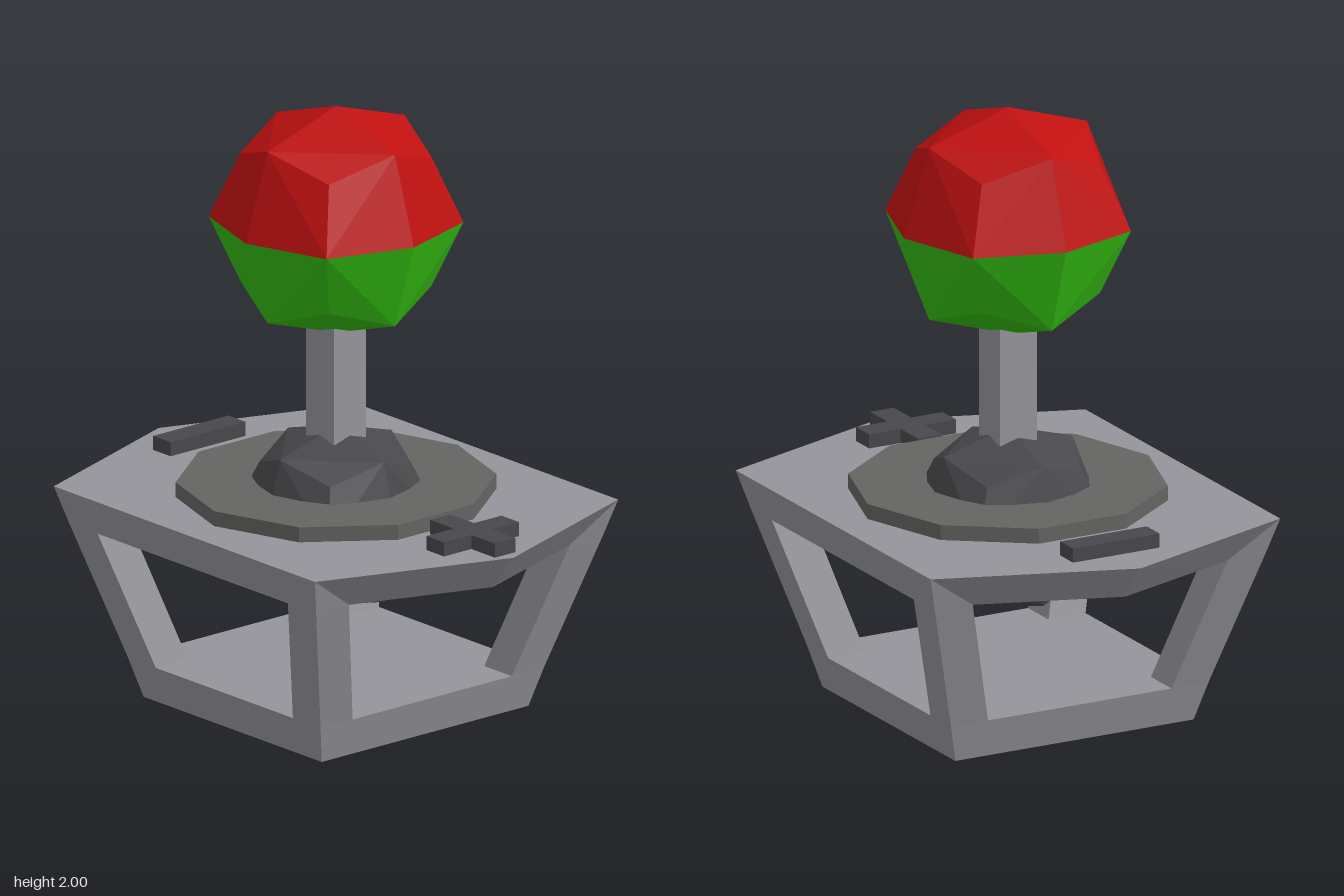
import * as THREE from 'three';
import { ConvexGeometry } from 'three/addons/geometries/ConvexGeometry.js';

const makeMaterial = (name, color) => {
  const m = new THREE.MeshStandardMaterial({ color, flatShading: true });
  m.name = name;
  return m;
};

export function createModel() {
  const model = new THREE.Group();
  model.name = 'joystick';
  const frameGrey = makeMaterial('frame grey', 0x94949a);
  const discGrey = makeMaterial('disc grey', 0x646462);
  const darkGrey = makeMaterial('dark grey', 0x48484c);
  const red = makeMaterial('red', 0xbf1010);
  const green = makeMaterial('green', 0x33bb12);

  const add = (name, geometry, material, parent = model) => {
    const mesh = new THREE.Mesh(geometry, material);
    mesh.name = name;
    parent.add(mesh);
    return mesh;
  };
  const hull = (points) => new ConvexGeometry(points.map((p) => new THREE.Vector3(...p)));
  const box = (name, w, h, d, x, y, z, material, parent) =>
    add(name, new THREE.BoxGeometry(w, h, d), material, parent).position.set(x, y, z);

  // Solid between two axis-aligned squares, each given by its range in x and z
  const frustum = (y0, [a0, b0], y1, [a1, b1], sx = 1, sz = 1) => {
    const points = [];
    for (const [y, a, b] of [[y0, a0, b0], [y1, a1, b1]])
      for (const x of [a, b]) for (const z of [a, b]) points.push([x * sx, y, z * sz]);
    return hull(points);
  };

  // Faceted ball points: axis tips, edge midpoints and corners of a rounded cube
  const ballPoints = (tip, edge, corner) => {
    const points = [];
    for (const x of [-1, 0, 1]) for (const y of [-1, 0, 1]) for (const z of [-1, 0, 1]) {
      const n = Math.abs(x) + Math.abs(y) + Math.abs(z);
      if (n === 0) continue;
      const r = [tip, edge, corner][n - 1];
      points.push([x * r, y * r, z * r]);
    }
    return points;
  };

  // Tapered open frame: floor, four corner legs, top plate
  const frame = new THREE.Group();
  frame.name = 'frame';
  model.add(frame);
  add('floor', frustum(0, [-0.435, 0.435], 0.13, [-0.47, 0.47]), frameGrey, frame);
  for (const sx of [-1, 1]) for (const sz of [-1, 1])
    add('leg', frustum(0.13, [0.335, 0.47], 0.577, [0.465, 0.603], sx, sz), frameGrey, frame);
  add('topPlate', frustum(0.577, [-0.603, 0.603], 0.7, [-0.638, 0.638]), frameGrey, frame);

  // Pointed overhangs at front and back
  for (const s of [1, -1])
    add(s > 0 ? 'frontOverhang' : 'backOverhang', hull([
      [-0.638, 0.7, 0.638 * s], [0.638, 0.7, 0.638 * s], [0, 0.7, 0.866 * s],
      [-0.465, 0.577, 0.603 * s], [0.465, 0.577, 0.603 * s], [0, 0.577, 0.767 * s],
    ]), frameGrey, frame);

  // Ten-sided collar disc
  const disc = add('collarDisc', new THREE.CylinderGeometry(0.513, 0.513, 0.05, 10), discGrey);
  disc.position.y = 0.725;
  disc.rotation.y = Math.PI / 2;

  // Pivot ball and stick
  add('pivotBall', hull(ballPoints(0.302, 0.234, 0.173)), darkGrey).position.y = 0.627;
  box('stick', 0.135, 0.6, 0.135, 0, 1.1, 0, frameGrey);

  // Two-coloured knob
  const knob = new THREE.Group();
  knob.name = 'knob';
  knob.position.y = 1.62;
  model.add(knob);
  const knobPoints = ballPoints(0.38, 0.288, 0.216);
  add('knobTop', hull(knobPoints.filter((p) => p[1] >= 0)), red, knob);
  add('knobBottom', hull(knobPoints.filter((p) => p[1] <= 0)), green, knob);

  // Minus button at the back, plus button at the front
  box('minusButton', 0.316, 0.05, 0.085, 0, 0.722, -0.667, darkGrey);
  const plus = new THREE.Shape();
  const a = 0.043, b = 0.158;
  [[-a, -b], [a, -b], [a, -a], [b, -a], [b, a], [a, a], [a, b], [-a, b], [-a, a], [-b, a], [-b, -a], [-a, -a]]
    .forEach(([x, y], i) => (i ? plus.lineTo(x, y) : plus.moveTo(x, y)));
  const plusButton = add('plusButton',
    new THREE.ExtrudeGeometry(plus, { depth: 0.05, bevelEnabled: false }), darkGrey);
  plusButton.rotation.x = -Math.PI / 2;
  plusButton.position.set(0, 0.697, 0.668);

  return model;
}
